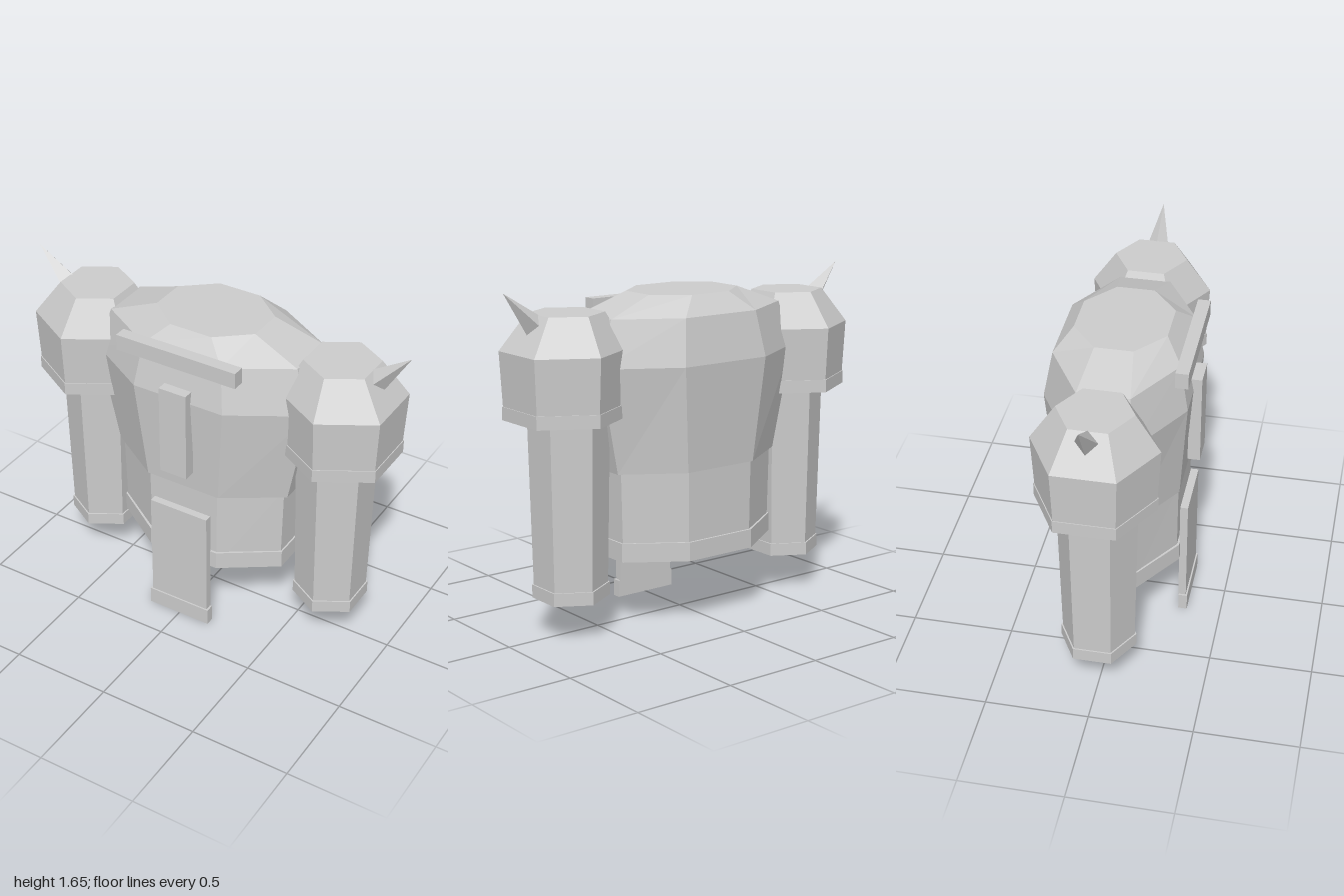
import * as THREE from 'three';

const CZ = -0.018; // centre line of the body and arms in z

// Closed faceted shell through rings [y, halfX, halfZ, centreX], listed bottom to top
function loft(rings, sides, phase) {
  const pts = rings.map(([y, rx, rz, cx = 0]) => Array.from({ length: sides }, (_, i) => {
    const a = phase + (i * 2 * Math.PI) / sides;
    return [cx + rx * Math.sin(a), y, CZ + rz * Math.cos(a)];
  }));
  const pos = [];
  const tri = (a, b, c) => pos.push(...a, ...b, ...c);
  const last = pts.length - 1;
  for (let i = 0; i < sides; i++) {
    const j = (i + 1) % sides;
    for (let k = 0; k < last; k++) {
      tri(pts[k][i], pts[k][j], pts[k + 1][j]);
      tri(pts[k][i], pts[k + 1][j], pts[k + 1][i]);
    }
    if (i > 0 && i < sides - 1) {
      tri(pts[0][0], pts[0][j], pts[0][i]);
      tri(pts[last][0], pts[last][i], pts[last][j]);
    }
  }
  const g = new THREE.BufferGeometry();
  g.setAttribute('position', new THREE.Float32BufferAttribute(pos, 3));
  g.computeVertexNormals();
  return g;
}

// Octagon with flat sides; sizes are given across the flats
function octagon(rings) {
  const k = 1 / Math.cos(Math.PI / 8);
  return loft(rings.map(([y, x, z]) => [y, x * k, z * k]), 8, Math.PI / 8);
}

// Hexagon with points to front and back; rings are [y, radius, centreX]
function hexagon(rings) {
  return loft(rings.map(([y, r, cx]) => [y, r, r, cx]), 6, 0);
}

export function createModel() {
  const model = new THREE.Group();
  model.name = 'armour';
  const grey = new THREE.MeshStandardMaterial({ color: 0xcccccc });
  grey.name = 'plain grey';
  grey.flatShading = true;

  const add = (parent, name, geometry) => {
    const mesh = new THREE.Mesh(geometry, grey);
    mesh.name = name;
    parent.add(mesh);
    return mesh;
  };
  const box = (name, x0, x1, y0, y1, z0, z1) =>
    add(model, name, new THREE.BoxGeometry(x1 - x0, y1 - y0, z1 - z0))
      .position.set((x0 + x1) / 2, (y0 + y1) / 2, (z0 + z1) / 2);

  // Torso and skirt
  add(model, 'torso', octagon([
    [0.77, 0.475, 0.302], [1.28, 0.58, 0.338], [1.5, 0.505, 0.298], [1.59, 0.265, 0.218],
  ]));
  add(model, 'skirt', octagon([[0.345, 0.445, 0.293], [0.8, 0.456, 0.296]]));
  add(model, 'skirtHem', octagon([[0.34, 0.455, 0.305], [0.432, 0.455, 0.305]]));

  // Front plates
  box('collarBar', -0.32, 0.315, 1.456, 1.535, 0.272, 0.333);
  box('chestStrip', -0.075, 0.07, 0.88, 1.342, 0.3, 0.36);
  box('frontFlap', -0.16, 0.156, 0.08, 0.643, 0.284, 0.322);
  box('frontFlapHem', -0.17, 0.166, 0, 0.086, 0.287, 0.33);

  // Arms, mirrored by the sign of x
  for (const s of [1, -1]) {
    const arm = new THREE.Group();
    arm.name = s > 0 ? 'leftArm' : 'rightArm';
    model.add(arm);
    add(arm, 'shoulderPad', hexagon([
      [1.05, 0.278, s * 0.683], [1.365, 0.295, s * 0.683], [1.535, 0.178, s * 0.667],
    ]));
    add(arm, 'shoulderHem', hexagon([[1.045, 0.286, s * 0.683], [1.108, 0.286, s * 0.683]]));
    add(arm, 'sleeve', hexagon([[0.192, 0.174, s * 0.662], [1.08, 0.192, s * 0.662]]));
    add(arm, 'cuff', hexagon([[0.187, 0.183, s * 0.662], [0.25, 0.183, s * 0.662]]));

    // Four-sided spike leaning outwards, tip at the widest point
    const spike = add(arm, 'shoulderSpike', new THREE.ConeGeometry(0.07, 0.287, 4).translate(0, -0.1435, 0));
    spike.position.set(s, 1.648, CZ);
    spike.rotation.z = -s * Math.PI / 4;
  }
  return model;
}
